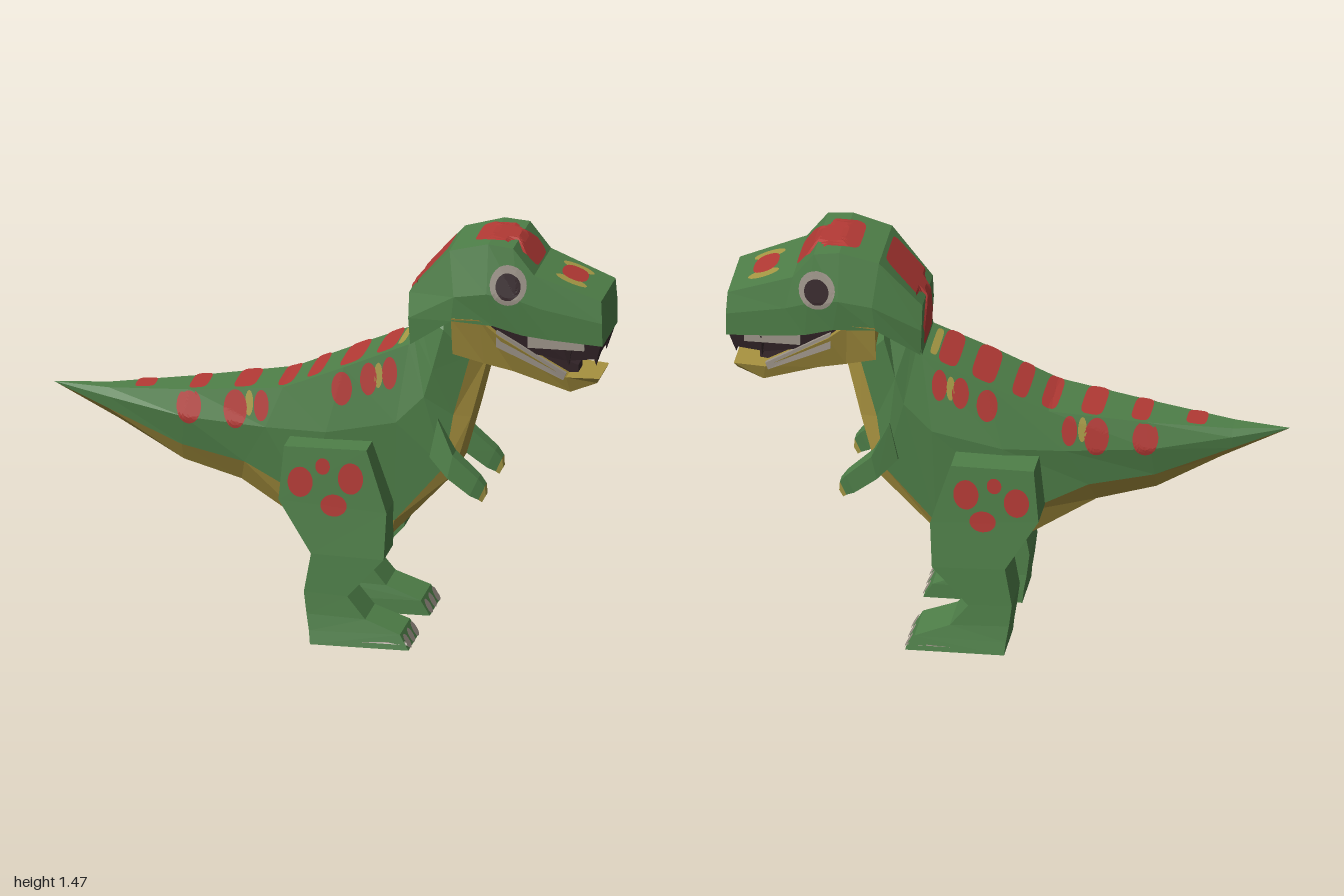
import * as THREE from 'three';

const mat = (name, color, side = THREE.FrontSide) =>
  new THREE.MeshStandardMaterial({ name, color, side, flatShading: true });

export function createModel() {
  const model = new THREE.Group();
  model.name = 'dinosaur';
  const green = mat('green skin', 0x4f8049);
  const yellow = mat('yellow belly', 0xa8923f);
  const red = mat('red markings', 0xb43a35, THREE.DoubleSide);
  const gold = mat('gold markings', 0xa89a45, THREE.DoubleSide);
  const ivory = mat('grey claws and teeth', 0x9c9388, THREE.DoubleSide);
  const dark = mat('dark mouth and pupils', 0x35262a, THREE.DoubleSide);
  const sole = mat('dark soles', 0x21171a);

  const V = (x, y, z) => new THREE.Vector3(x, y, z);

  // Skin a list of point rings; stripMat(j) colours strip j, caps close the ends
  function loft(name, rings, stripMat, startMat, endMat) {
    const buckets = new Map();
    let volume = 0;
    const tri = (m, a, b, c) => {
      if (V().subVectors(b, a).cross(V().subVectors(c, a)).length() < 1e-7) return;
      volume += a.dot(V().crossVectors(b, c));
      if (!buckets.has(m)) buckets.set(m, []);
      buckets.get(m).push([a, b, c]);
    };
    const n = rings[0].length;
    for (let i = 0; i < rings.length - 1; i++) {
      for (let j = 0; j < n; j++) {
        const k = (j + 1) % n, p = rings[i], q = rings[i + 1], m = stripMat(j, i);
        tri(m, p[j], q[j], q[k]);
        tri(m, p[j], q[k], p[k]);
      }
    }
    const last = rings[rings.length - 1];
    for (let j = 1; j < n - 1; j++) {
      tri(startMat, rings[0][0], rings[0][j], rings[0][j + 1]);
      tri(endMat, last[0], last[j + 1], last[j]);
    }
    const pos = [], geo = new THREE.BufferGeometry(), mats = [];
    for (const [m, list] of buckets) {
      geo.addGroup(pos.length / 3, list.length * 3, mats.length);
      mats.push(m);
      for (const [a, b, c] of list)
        for (const p of volume > 0 ? [a, b, c] : [a, c, b]) pos.push(p.x, p.y, p.z);
    }
    geo.setAttribute('position', new THREE.Float32BufferAttribute(pos, 3));
    geo.computeVertexNormals();
    const mesh = new THREE.Mesh(geo, mats);
    mesh.name = name;
    model.add(mesh);
    return mesh;
  }

  // Symmetric ring from a half profile of [x, y, half width], top to bottom
  const mirrored = (half) => [
    ...half.map(([x, y, w]) => V(x, y, w)),
    ...[...half].reverse().map(([x, y, w]) => V(x, y, -w)),
  ];
  // Four-cornered ring between a back and a front point
  const slab = (s) => ([bx, by, fx, fy, zi, zo]) =>
    [V(bx, by, s * zi), V(fx, fy, s * zi), V(fx, fy, s * zo), V(bx, by, s * zo)];

  // Thin marking draped over the target meshes, seen along -n
  const ray = new THREE.Raycaster();
  function marking(name, targets, m, c, u, v, ru, rv, power = 1, lift = 0.006) {
    const n = V().crossVectors(u, v).normalize();
    const R = 6, S = 24, pts = [], pos = [];
    for (let i = 0; i <= R; i++) {
      for (let j = 0; j < S; j++) {
        const t = (j / S) * Math.PI * 2, f = i / R;
        const bend = (k) => Math.sign(k) * Math.abs(k) ** power * f;
        const o = c.clone().addScaledVector(u, ru * bend(Math.cos(t)))
          .addScaledVector(v, rv * bend(Math.sin(t))).addScaledVector(n, 3);
        ray.set(o, n.clone().negate());
        const hit = ray.intersectObjects(targets, false)[0];
        pts.push(hit ? hit.point.clone().addScaledVector(hit.face.normal, lift) : null);
      }
    }
    const add = (...ids) => {
      if (ids.every((id) => pts[id])) ids.forEach((id) => pos.push(...pts[id].toArray()));
    };
    for (let i = 0; i < R; i++) {
      for (let j = 0; j < S; j++) {
        const k = (j + 1) % S, a = i * S + j, b = i * S + k;
        add(a, a + S, b + S);
        if (i) add(a, b + S, b);
      }
    }
    const geo = new THREE.BufferGeometry();
    geo.setAttribute('position', new THREE.Float32BufferAttribute(pos, 3));
    geo.computeVertexNormals();
    const mesh = new THREE.Mesh(geo, m);
    mesh.name = name;
    model.add(mesh);
  }
  const X = V(1, 0, 0), Y = V(0, 1, 0), Z = V(0, 0, 1);
  const onSide = (name, t, m, s, x, y, rx, ry, p, lift) =>
    marking(name, t, m, V(x, y, 0), V(s, 0, 0), Y, rx, ry, p, lift);
  const onTop = (name, t, m, x, z, rx, rz, p, lift) =>
    marking(name, t, m, V(x, 0, z), Z, X, rz, rx, p, lift);

  // Tail, body and neck: spine, flank, belly line, belly
  const body = loft('body', [
    [[-1, .83, 0], [-1, .83, 0], [-1, .83, 0], [-1, .83, 0]],
    [[-.8, .83, .035], [-.8, .80, .047], [-.8, .755, .04], [-.76, .71, .015]],
    [[-.5, .855, .085], [-.52, .76, .105], [-.53, .65, .08], [-.53, .585, .04]],
    [[-.16, .895, .13], [-.22, .75, .145], [-.3, .61, .115], [-.32, .53, .06]],
    [[.06, .985, .14], [0, .75, .165], [-.08, .5, .14], [-.05, .37, .1]],
    [[.29, 1.08, .13], [.25, .8, .165], [.24, .43, .135], [.22, .365, .11]],
    [[.3, 1.15, .12], [.35, .9, .165], [.42, .64, .15], [.45, .61, .13]],
    [[.32, 1.2, .12], [.38, 1.0, .165], [.45, .83, .135], [.51, .82, .11]],
    [[.42, 1.25, .12], [.42, 1.15, .165], [.51, 1.05, .13], [.57, 1.05, .09]],
  ].map(mirrored), (j) => (j >= 2 && j <= 4 ? yellow : green), green, green);

  // Skull and snout
  const head = loft('head', [
    [[.29, 1.27, .12], [.29, 1.18, .14], [.295, 1.08, .13]],
    [[.44, 1.44, .15], [.46, 1.28, .185], [.45, 1.19, .18]],
    [[.58, 1.475, .16], [.58, 1.3, .195], [.6, 1.18, .18]],
    [[.67, 1.465, .165], [.69, 1.28, .187], [.7, 1.15, .175]],
    [[.745, 1.37, .165], [.77, 1.25, .175], [.8, 1.135, .165]],
    [[.98, 1.28, .14], [.985, 1.2, .15], [.985, 1.115, .145]],
  ].map(mirrored), () => green, green, green);

  // Lower jaw, open
  loft('lowerJaw', [
    [[.45, 1.2, .182], [.45, 1.06, .15]],
    [[.55, 1.2, .182], [.56, 1.025, .13]],
    [[.62, 1.14, .172], [.66, 1.0, .12]],
    [[.85, .985, .115], [.86, .925, .09]],
    [[.965, .98, .095], [.955, .96, .08]],
  ].map(mirrored), () => yellow, yellow, yellow);

  // Dark palate, throat and tongue
  loft('palate', [
    [[.55, 1.19, .15], [.56, 1.12, .14]],
    [[.74, 1.15, .15], [.74, 1.07, .13]],
    [[.86, 1.14, .145], [.85, 1.05, .125]],
    [[.98, 1.125, .135], [.96, 1.06, .12]],
  ].map(mirrored), () => dark, dark, dark);
  loft('tongue', [
    [[.62, 1.13, .1], [.62, 1.06, .1]],
    [[.78, 1.055, .07], [.78, 1.01, .07]],
    [[.88, 1.01, .04], [.88, .97, .04]],
  ].map(mirrored), () => dark, dark, dark);

  for (const s of [1, -1]) {
    const side = s > 0 ? 'left' : 'right';
    // Rear teeth strips and front fangs
    loft(side + 'LowerTeeth', [
      [.61, 1.1, .61, 1.16, .155, .168], [.84, .975, .85, 1.0, .1, .117],
    ].map(slab(s)), () => ivory, ivory, ivory);
    loft(side + 'UpperTeeth', [
      [.72, 1.1, .72, 1.15, .14, .156], [.92, 1.095, .92, 1.12, .13, .146],
    ].map(slab(s)), () => ivory, ivory, ivory);
    for (const [x, z] of [[.86, .12], [.955, .1]]) {
      const fang = new THREE.Mesh(new THREE.ConeGeometry(.032, .09, 5), dark);
      fang.name = side + 'Fang';
      fang.rotation.x = Math.PI;
      fang.position.set(x, 1.075, s * z);
      model.add(fang);
    }

    // Leg: thigh, knee, ankle, foot
    const leg = loft(side + 'Leg', [
      [-.13, .725, .165, .725, .14, .272],
      [-.148, .53, .238, .5, .11, .28],
      [-.03, .34, .23, .33, .11, .29],
      [-.055, .2, .1, .19, .11, .292],
      [-.045, .12, .165, .11, .11, .295],
      [-.035, .06, .29, .062, .105, .302],
      [-.03, .012, .322, .008, .105, .31],
    ].map(slab(s)), () => green, green, sole);
    for (const [x, y, rx, ry] of [[-.07, .6, .045, .055], [.01, .66, .026, .03],
      [.11, .62, .045, .057], [.05, .52, .047, .04]])
      onSide(side + 'LegSpot', [leg], red, s, x, y, rx, ry);
    for (const z of [.135, .208, .28])
      marking(side + 'Claw', [leg], ivory, V(0, .03, s * z), V(0, 0, -1), Y, .027, .026);

    // Small arm with a claw tip
    loft(side + 'Arm', [
      [.37, .68, .4, .82, .1, .165],
      [.44, .615, .46, .7, .13, .2],
      [.52, .555, .55, .62, .14, .198],
      [.55, .54, .573, .59, .148, .19],
      [.562, .53, .576, .555, .152, .184],
    ].map(slab(s)), (j, i) => (i === 3 ? gold : green), green, gold);

    // Eye
    onSide(side + 'EyeRim', [head], ivory, s, .655, 1.335, .065, .072);
    onSide(side + 'Pupil', [head], dark, s, .655, 1.33, .044, .048, 1, .0095);

    // Flank spots
    for (const [x, y, rx, ry] of [[-.5, .8, .045, .062], [-.33, .805, .043, .068],
      [-.235, .825, .027, .055], [.055, .91, .037, .06], [.15, .95, .03, .058], [.225, .975, .027, .058]])
      onSide(side + 'FlankSpot', [body], red, s, x, y, rx, ry);
    for (const [x, y] of [[-.28, .83], [.185, .965]])
      onSide(side + 'FlankFleck', [body], gold, s, x, y, .015, .045);
    onTop(side + 'SnoutFleck', [head], gold, .86, s * .075, .055, .03);
  }

  // Back stripes: x, half length, half width
  for (const [x, rx, rz] of [[-.67, .036, .052], [-.475, .033, .085], [-.305, .04, .108],
    [-.155, .03, .122], [-.05, .028, .13], [.08, .042, .132], [.205, .035, .128]])
    onTop('backStripe', [body], red, x, 0, rx, rz, .5);
  onTop('backFleck', [body], gold, .258, 0, .013, .1, .5);

  // Neck, crown and snout patches
  marking('neckPatch', [head, body], red, V(.325, 1.3, 0), Z,
    V(1, 1, 0).normalize(), .1, .165, .2);
  onTop('crownPatch', [head], red, .63, 0, .11, .105, .3);
  onTop('snoutPatch', [head], red, .86, 0, .045, .07, .8, .009);

  return model;
}
